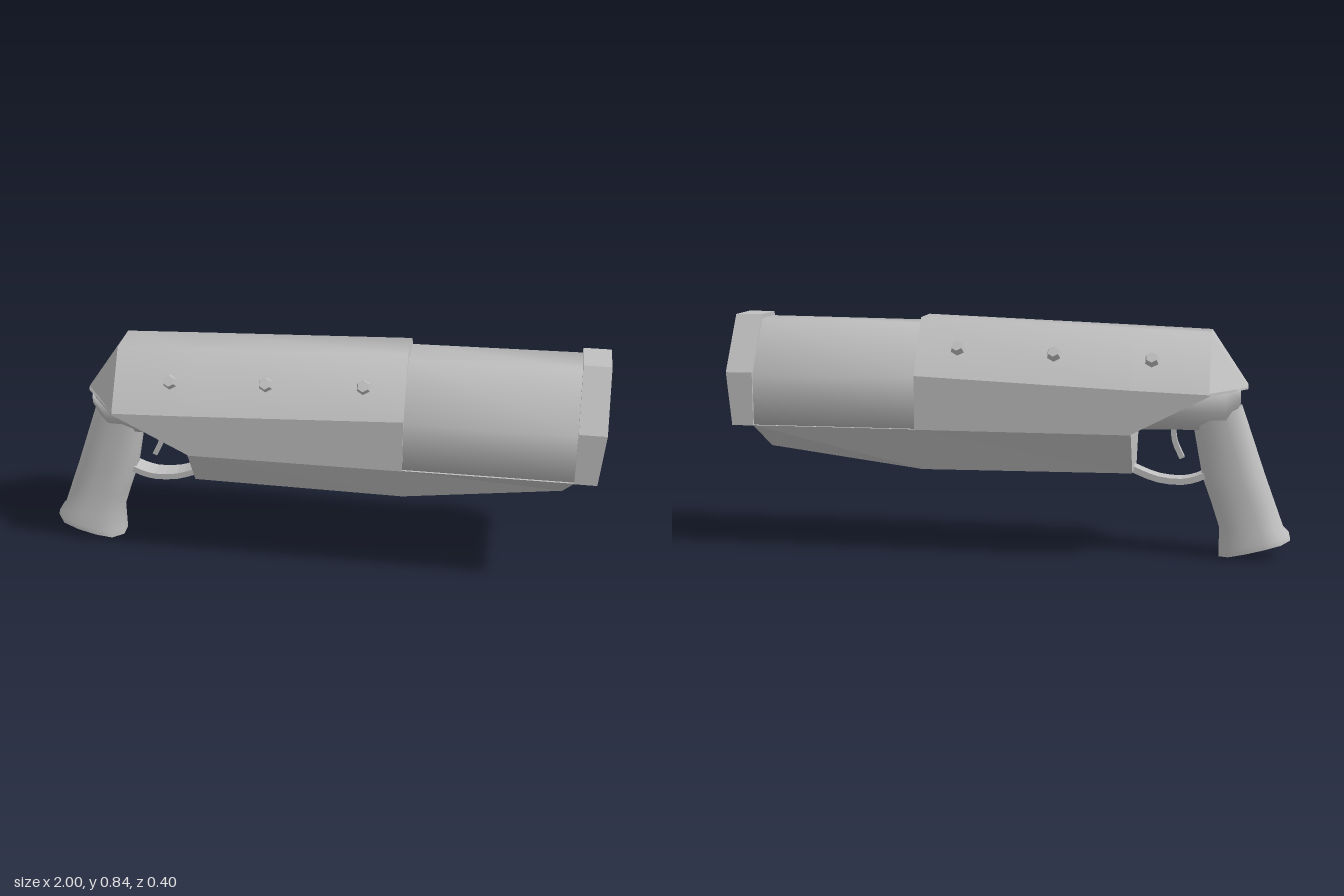
import * as THREE from 'three';

const metal = new THREE.MeshStandardMaterial({ color: 0xc0c0c0 });
metal.name = 'light grey metal';

// Skin through closed loops of [x, y, z] points, with flat end caps
function loft(name, loops, flat = false) {
  const n = loops[0].length, pos = [], idx = [];
  loops.forEach(l => l.forEach(p => pos.push(...p)));
  for (let s = 0; s < loops.length - 1; s++) {
    for (let i = 0; i < n; i++) {
      const a = s * n + i, b = s * n + (i + 1) % n;
      idx.push(a, b, b + n, a, b + n, a + n);
    }
  }
  [loops[0], loops[loops.length - 1]].forEach((l, end) => {
    const o = pos.length / 3;
    l.forEach(p => pos.push(...p));
    for (let i = 1; i < n - 1; i++) {
      if (end) idx.push(o, o + i, o + i + 1);
      else idx.push(o, o + i + 1, o + i);
    }
  });
  let geo = new THREE.BufferGeometry();
  geo.setAttribute('position', new THREE.Float32BufferAttribute(pos, 3));
  geo.setIndex(idx);
  if (flat) geo = geo.toNonIndexed();
  geo.computeVertexNormals();
  const mesh = new THREE.Mesh(geo, metal);
  mesh.name = name;
  return mesh;
}

// Symmetric loop from a half profile of [x, y, z], listed top to bottom
const mirror = half => [...half, ...half.map(([x, y, z]) => [x, y, -z]).reverse()];

// Housing loop: repeated points keep the shoulder and lower edges crisp
function housingLoop(x, top, shoulder, bottom) {
  const s = [x, shoulder, 0.2], b = [x, bottom, 0.2];
  return mirror([[x, top, 0.07], s, s, b, b]);
}

// Grip loop between a back point and a front point
function gripLoop([bx, by, fx, fy, w]) {
  const loop = [];
  for (let i = 0; i < 12; i++) {
    const a = (i + 0.5) / 12 * Math.PI * 2;
    const c = Math.max(-1, Math.min(1, Math.cos(a) * 1.035));
    const z = -w * Math.max(-1, Math.min(1, Math.sin(a) * 1.2));
    const t = (c + 1) / 2;
    loop.push([bx + (fx - bx) * t, by + (fy - by) * t, z]);
  }
  return loop;
}

// Thin bar of rectangular section following a side path of [x, y]
function strip(name, path, width, thick) {
  const curve = new THREE.CatmullRomCurve3(path.map(([x, y]) => new THREE.Vector3(x, y, 0)));
  const loops = [];
  for (let i = 0; i <= 10; i++) {
    const p = curve.getPoint(i / 10), t = curve.getTangent(i / 10);
    const dx = -t.y * thick / 2, dy = t.x * thick / 2, w = width / 2;
    loops.push([[p.x + dx, p.y + dy, -w], [p.x + dx, p.y + dy, w],
      [p.x - dx, p.y - dy, w], [p.x - dx, p.y - dy, -w]]);
  }
  return loft(name, loops, true);
}

export function createModel() {
  const model = new THREE.Group();
  model.name = 'launcher';

  // Main housing, with its underside cut up toward the rear
  model.add(loft('housing', [
    housingLoop(-0.71, 0.805, 0.605, 0.6),
    housingLoop(-0.44, 0.816, 0.615, 0.46),
    housingLoop(0.315, 0.845, 0.65, 0.46),
  ]));

  // Tapered rear hood
  model.add(loft('rearHood', [
    mirror([[-0.84, 0.618, 0.02], [-0.84, 0.612, 0.03], [-0.84, 0.606, 0.03]]),
    mirror([[-0.71, 0.805, 0.07], [-0.71, 0.61, 0.2], [-0.71, 0.6, 0.2]]),
  ], true));

  // Barrel
  const barrelLoop = (x, top) => mirror([[x, top, 0.066], [x, 0.64, 0.192], [x, 0.462, 0.192]]);
  model.add(loft('barrel', [barrelLoop(0.3, 0.824), barrelLoop(0.91, 0.832)]));

  // Muzzle collar with a recessed opening
  const outer = (x, lowX) => mirror([[x, 0.847, 0.072], [x, 0.65, 0.2], [lowX, 0.46, 0.2]]);
  const inner = (x, lowX, low) => mirror([[x, 0.808, 0.058], [x, 0.65, 0.161], [lowX, low, 0.161]]);
  model.add(loft('muzzleCollar', [
    outer(0.904, 0.904), outer(1, 0.982), inner(1, 0.985, 0.5), inner(0.94, 0.94, 0.506),
  ], true));

  // Tapered fore-end under the barrel
  const foreLoop = (topX, lowX, low) => mirror([[topX, 0.461, 0.198], [lowX, low, 0.096]]);
  model.add(loft('foreEnd', [
    foreLoop(-0.445, -0.445, 0.307), foreLoop(0.31, 0.31, 0.3), foreLoop(0.905, 0.87, 0.372),
  ], true));

  // Receiver between housing and grip
  const receiverLoop = (x, low, w) => mirror([
    [x, 0.61, w], [x, low + (0.61 - low) * 0.45, w], [x, low, w * 0.6]]);
  model.add(loft('receiver', [
    receiverLoop(-0.815, 0.555, 0.075), receiverLoop(-0.765, 0.463, 0.09), receiverLoop(-0.43, 0.458, 0.09),
  ]));

  // Flared grip, from the butt upward: back x, y, front x, y, half width
  model.add(loft('grip', [
    [-1, 0.07, -0.75, 0.003, 0.088],
    [-0.995, 0.09, -0.75, 0.03, 0.09],
    [-0.975, 0.11, -0.75, 0.11, 0.082],
    [-0.94, 0.205, -0.72, 0.2, 0.075],
    [-0.905, 0.3, -0.687, 0.29, 0.074],
    [-0.82, 0.545, -0.652, 0.475, 0.074],
  ].map(gripLoop)));

  // Trigger and its guard
  model.add(strip('triggerGuard',
    [[-0.71, 0.302], [-0.67, 0.283], [-0.615, 0.27], [-0.53, 0.277], [-0.47, 0.298], [-0.42, 0.32]], 0.07, 0.022));
  model.add(strip('trigger', [[-0.58, 0.47], [-0.588, 0.41], [-0.614, 0.352]], 0.035, 0.018));

  // Hexagonal bolts on both sloping sides
  const boltGeo = new THREE.CylinderGeometry(0.02, 0.029, 0.036, 6).toNonIndexed();
  boltGeo.computeVertexNormals();
  for (const side of [1, -1]) {
    [[-0.51, 0.716], [-0.17, 0.73], [0.17, 0.745]].forEach(([x, y]) => {
      const bolt = new THREE.Mesh(boltGeo, metal);
      bolt.name = side > 0 ? 'frontBolt' : 'backBolt';
      bolt.position.set(x, y, side * 0.141);
      bolt.rotation.x = side * 0.98;
      model.add(bolt);
    });
  }
  return model;
}
